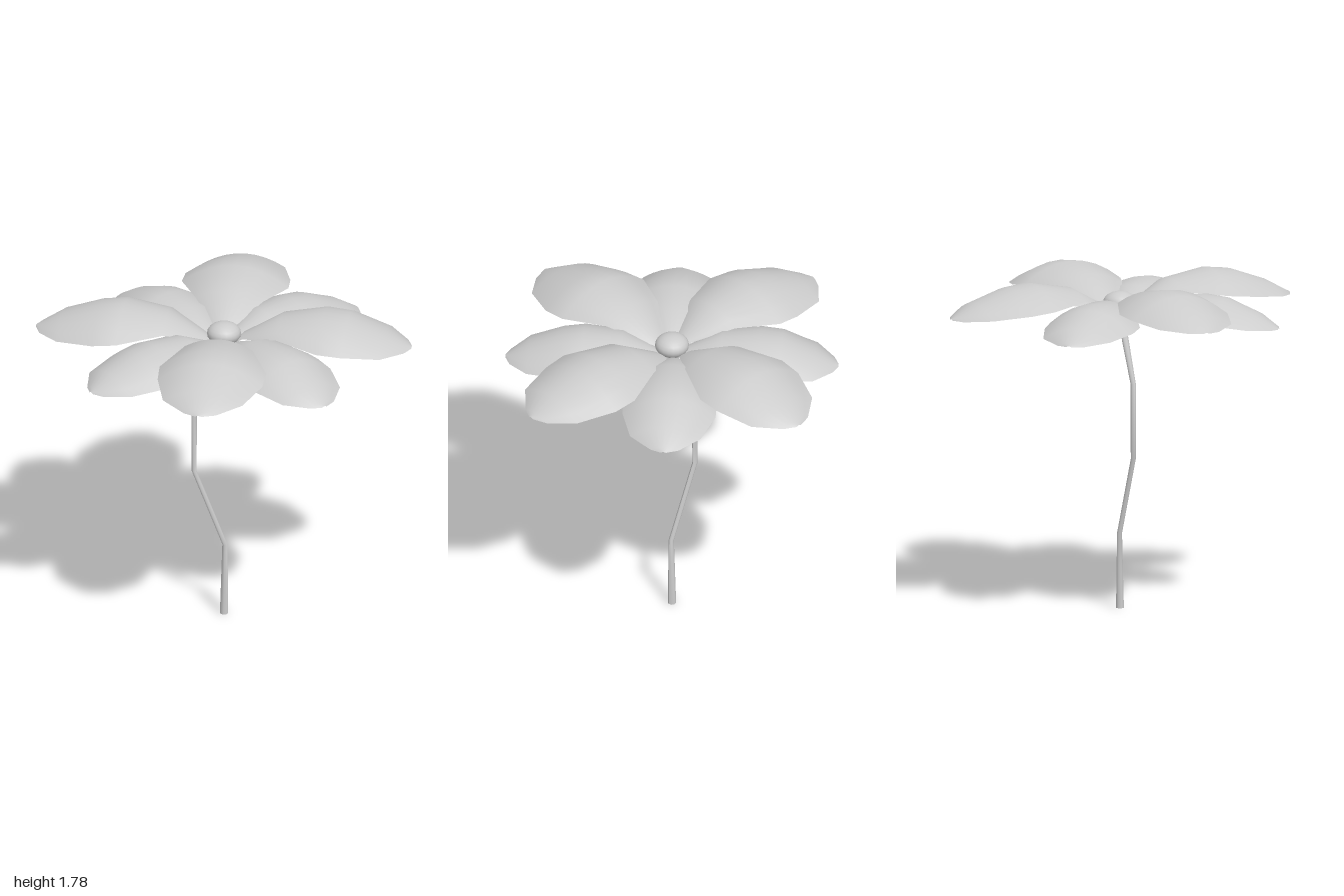
import * as THREE from 'three';

const grey = new THREE.MeshStandardMaterial({ color: 0xcccccc, side: THREE.DoubleSide });

// Surface through rows of points, all rows having the same length
function loft(rows) {
  const n = rows[0].length, index = [];
  for (let i = 0; i < rows.length - 1; i++) {
    for (let j = 0; j < n - 1; j++) {
      const a = i * n + j, b = a + n;
      index.push(a, b, a + 1, a + 1, b, b + 1);
    }
  }
  const geo = new THREE.BufferGeometry();
  geo.setAttribute('position', new THREE.Float32BufferAttribute(rows.flat(2), 3));
  geo.setIndex(index);
  geo.computeVertexNormals();
  return geo;
}

// Petal sections: distance from centre, left x, right x, ridge height, edge height
const SECTIONS = [
  [0.02, -0.01, 0.02, 1.56, 1.555],
  [0.1, -0.035, 0.07, 1.63, 1.62],
  [0.3, -0.16, 0.2, 1.74, 1.688],
  [0.53, -0.26, 0.31, 1.78, 1.667],
  [0.66, -0.25, 0.31, 1.765, 1.653],
  [0.86, -0.19, 0.235, 1.695, 1.63],
  [0.97, -0.06, 0.11, 1.635, 1.615],
  [1.0, 0.005, 0.035, 1.62, 1.615],
];

// Arched petal pointing to +z; scale shrinks it in plan, drop lowers its outer part
function petalGeometry(scale, drop) {
  const steps = 8;
  return loft(SECTIONS.map(([r, left, right, ridge, edge]) => {
    const row = [];
    for (let j = 0; j <= steps; j++) {
      const t = j / steps, u = 2 * t - 1;
      const y = edge + (ridge - edge) * (1 - u * u) - drop * Math.min(1, r / 0.45);
      row.push([scale * THREE.MathUtils.lerp(left, right, t), y, scale * r]);
    }
    return row;
  }));
}

// Stem rings: x, y, radius
function stemGeometry() {
  const rings = [
    [0, 0, 0.022], [0.005, 0.4, 0.014], [-0.16, 0.82, 0.014],
    [-0.16, 1.22, 0.015], [-0.005, 1.58, 0.022],
  ];
  const sides = 8;
  const circle = (x, y, r) => Array.from({ length: sides + 1 }, (_, j) => {
    const a = -(j / sides) * Math.PI * 2;
    return [x + r * Math.cos(a), y, -r * Math.sin(a)];
  });
  return loft(rings.map(([x, y, r]) => circle(x, y, r)).reverse());
}

export function createModel() {
  const flower = new THREE.Group();
  flower.name = 'flower';
  const add = (geo, name) => {
    const mesh = new THREE.Mesh(geo, grey);
    mesh.name = name;
    flower.add(mesh);
    return mesh;
  };

  // Crooked stem with a closed foot
  add(stemGeometry(), 'stem');
  add(new THREE.CircleGeometry(0.022, 8).rotateX(Math.PI / 2), 'stemFoot');

  // Four long upper petals and four shorter lower ones between them
  const upper = petalGeometry(1, 0), lower = petalGeometry(0.88, 0.08);
  for (let i = 0; i < 4; i++) {
    add(upper, 'upperPetal').rotation.y = i * Math.PI / 2;
    add(lower, 'lowerPetal').rotation.y = (i + 0.5) * Math.PI / 2;
  }

  // Flattened centre
  const centre = add(new THREE.SphereGeometry(0.09, 20, 12), 'flowerCentre');
  centre.scale.y = 0.67;
  centre.position.y = 1.635;

  return flower;
}
